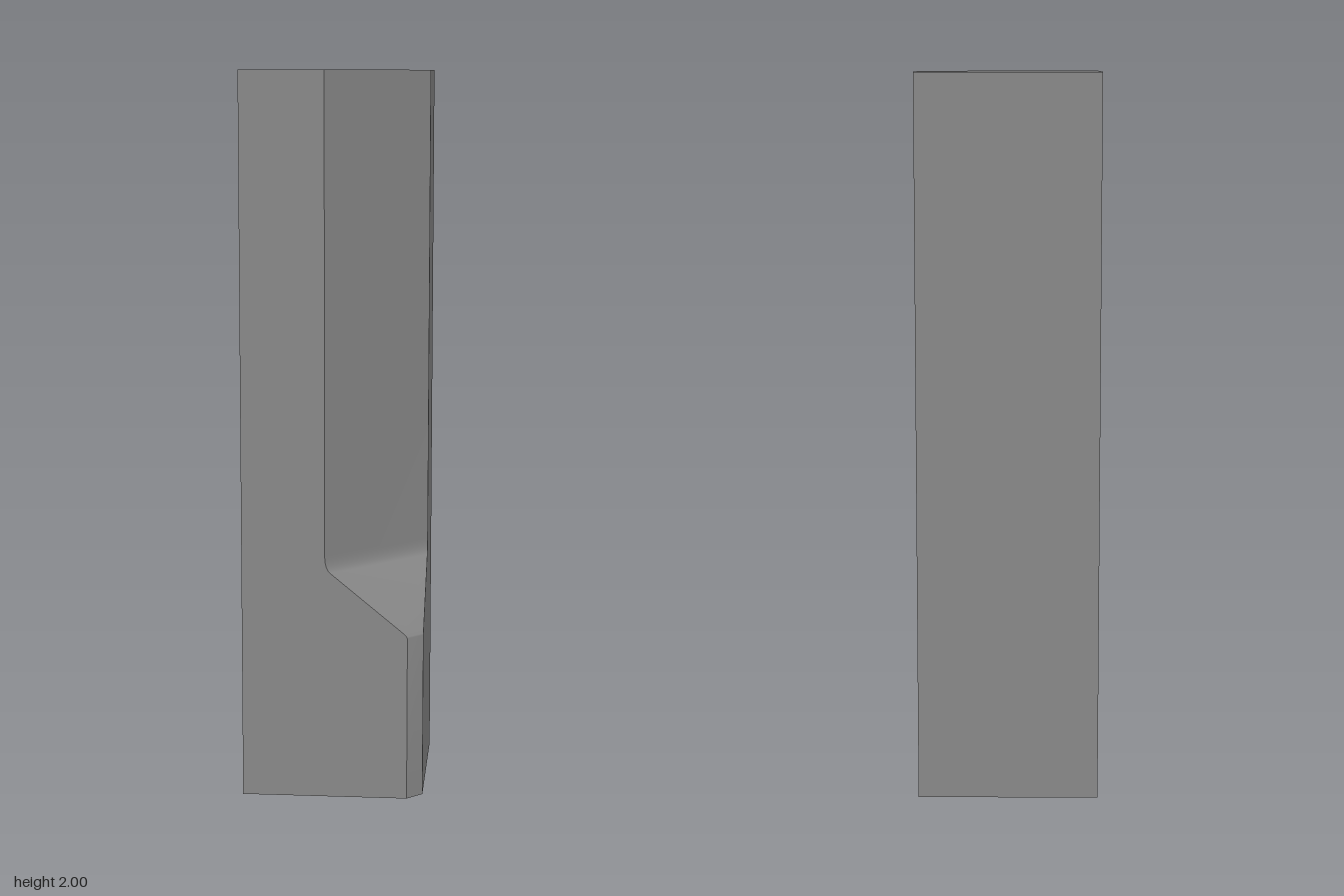
import * as THREE from 'three';
import { toCreasedNormals } from 'three/addons/utils/BufferGeometryUtils.js';

const HALF = 0.25;

// Square section whose front left corner is cut off by the given amount
const section = ({ x: cut, y }) => [
  [-HALF, y, -HALF],
  [-HALF, y, HALF],
  [HALF - cut, y, HALF],
  [HALF, y, HALF - cut],
  [HALF, y, -HALF],
];

// Small rounded bend between two chamfer depths (x = cut, y = height)
const bend = (a, corner, b, steps) =>
  new THREE.QuadraticBezierCurve(
    new THREE.Vector2(...a), new THREE.Vector2(...corner), new THREE.Vector2(...b)
  ).getPoints(steps);

export function createModel() {
  // Chamfer depth along the height: narrow foot, slope, wide upper cut
  const profile = [
    new THREE.Vector2(0.042, 0),
    ...bend([0.042, 0.455], [0.042, 0.463], [0.05, 0.47], 4),
    ...bend([0.255, 0.638], [0.27, 0.651], [0.27, 0.685], 6),
    new THREE.Vector2(0.27, 2),
  ];
  const rings = profile.map(section);
  const positions = [];
  const tri = (...corners) => corners.forEach((p) => positions.push(...p));

  // Side walls
  for (let r = 0; r < rings.length - 1; r++) {
    const low = rings[r], high = rings[r + 1];
    for (let i = 0; i < low.length; i++) {
      const j = (i + 1) % low.length;
      tri(low[i], low[j], high[j]);
      tri(low[i], high[j], high[i]);
    }
  }

  // End caps
  const bottom = rings[0], top = rings[rings.length - 1];
  for (let i = 1; i < top.length - 1; i++) {
    tri(top[0], top[i], top[i + 1]);
    tri(bottom[0], bottom[i + 1], bottom[i]);
  }

  const geometry = new THREE.BufferGeometry();
  geometry.setAttribute('position', new THREE.Float32BufferAttribute(positions, 3));

  const post = new THREE.Mesh(
    toCreasedNormals(geometry, 0.4),
    new THREE.MeshStandardMaterial({ color: 0x888888 })
  );
  post.name = 'chamferedPost';

  const model = new THREE.Group();
  model.name = 'post';
  model.add(post);
  return model;
}
